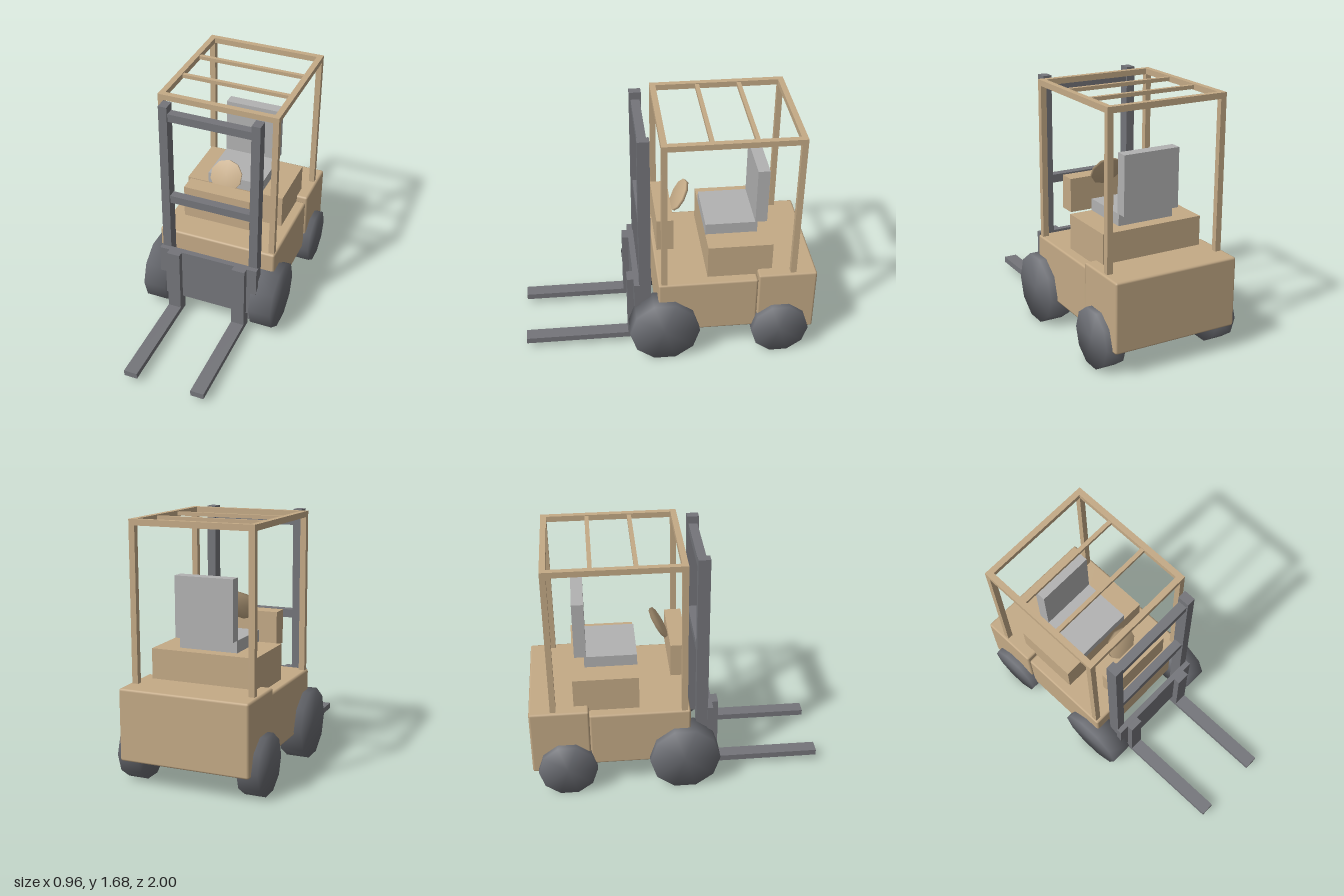
import * as THREE from 'three';
import { mergeVertices } from 'three/addons/utils/BufferGeometryUtils.js';
import { RoundedBoxGeometry } from 'three/addons/geometries/RoundedBoxGeometry.js';

const paint = (color) => new THREE.MeshStandardMaterial({ color });

export function createModel() {
  const model = new THREE.Group();
  model.name = 'forklift';
  const tan = paint(0xc4aa86), steel = paint(0x74757a), rubber = paint(0x6c6e74), grey = paint(0xb2b2b2);

  const add = (name, geometry, material) => {
    const mesh = new THREE.Mesh(geometry, material);
    mesh.name = name;
    model.add(mesh);
    return mesh;
  };

  // Box given by its extents on each axis; a bevel chamfers its edges
  const box = (name, material, [x0, x1], [y0, y1], [z0, z1], bevel = 0) => {
    const size = [x1 - x0, y1 - y0, z1 - z0];
    const geometry = bevel ? new RoundedBoxGeometry(...size, 1, bevel) : new THREE.BoxGeometry(...size);
    const mesh = add(name, geometry, material);
    mesh.position.set((x0 + x1) / 2, (y0 + y1) / 2, (z0 + z1) / 2);
    return mesh;
  };
  const pair = (name, material, [x0, x1], y, z) => {
    box(name + 'Left', material, [x0, x1], y, z);
    box(name + 'Right', material, [-x1, -x0], y, z);
  };

  // Ten-sided disc with normals smoothed across rim and faces
  const disc = (radius, width) => {
    const geometry = new THREE.CylinderGeometry(radius, radius, width, 10);
    geometry.deleteAttribute('uv');
    geometry.deleteAttribute('normal');
    const smooth = mergeVertices(geometry);
    smooth.computeVertexNormals();
    return smooth;
  };

  // Body
  box('chassis', tan, [-0.43, 0.43], [0.2, 0.6], [-0.6, 0.08], 0.015);
  box('counterweight', tan, [-0.44, 0.44], [0.165, 0.64], [-1, -0.6], 0.015);
  box('engineHood', tan, [-0.36, 0.36], [0.59, 0.84], [-0.7, -0.26]);
  box('dashboard', tan, [-0.24, 0.24], [0.765, 1], [-0.04, 0.075]);

  // Seat
  box('seatCushion', grey, [-0.2, 0.2], [0.84, 0.92], [-0.615, -0.26]);
  box('seatBack', grey, [-0.2, 0.2], [0.92, 1.32], [-0.68, -0.6]);

  // Steering wheel, tilted towards the seat
  const steering = add('steeringWheel', disc(0.113, 0.02), tan);
  steering.position.set(0, 1.042, -0.1);
  steering.rotation.x = Math.PI / 3;

  // Wheels
  for (const [side, s] of [['Left', 1], ['Right', -1]]) {
    for (const [name, radius, width, y, z] of [
      ['frontWheel', 0.241, 0.16, 0.229, 0.04],
      ['rearWheel', 0.2, 0.14, 0.19, -0.76],
    ]) {
      const wheel = add(name + side, disc(radius, width), rubber);
      wheel.rotation.z = Math.PI / 2;
      wheel.position.set(s * (0.48 - width / 2), y, z);
    }
  }

  // Overhead guard
  pair('guardFrontPost', tan, [0.38, 0.42], [0.59, 1.645], [0.02, 0.06]);
  pair('guardRearPost', tan, [0.38, 0.42], [0.63, 1.645], [-0.857, -0.818]);
  pair('guardSideRail', tan, [0.38, 0.42], [1.643, 1.682], [-0.857, 0.06]);
  box('guardFrontRail', tan, [-0.38, 0.38], [1.643, 1.682], [0.02, 0.06]);
  box('guardRearRail', tan, [-0.38, 0.38], [1.643, 1.682], [-0.857, -0.818]);
  for (const z of [-0.262, -0.548]) {
    box('guardRoofBar', tan, [-0.38, 0.38], [1.65, 1.675], [z - 0.014, z + 0.014]);
  }

  // Mast
  pair('mastRail', steel, [0.29, 0.35], [0.08, 1.682], [0.125, 0.205]);
  for (const y of [0.962, 1.602]) {
    box('mastCrossbar', steel, [-0.29, 0.29], [y - 0.028, y + 0.028], [0.135, 0.195]);
  }

  // Carriage and forks
  box('carriage', steel, [-0.36, 0.36], [0.165, 0.56], [0.2, 0.24]);
  pair('forkUpright', steel, [0.195, 0.289], [0.085, 0.56], [0.2, 0.283]);
  pair('forkTine', steel, [0.195, 0.289], [0.043, 0.085], [0.2, 1]);

  return model;
}
